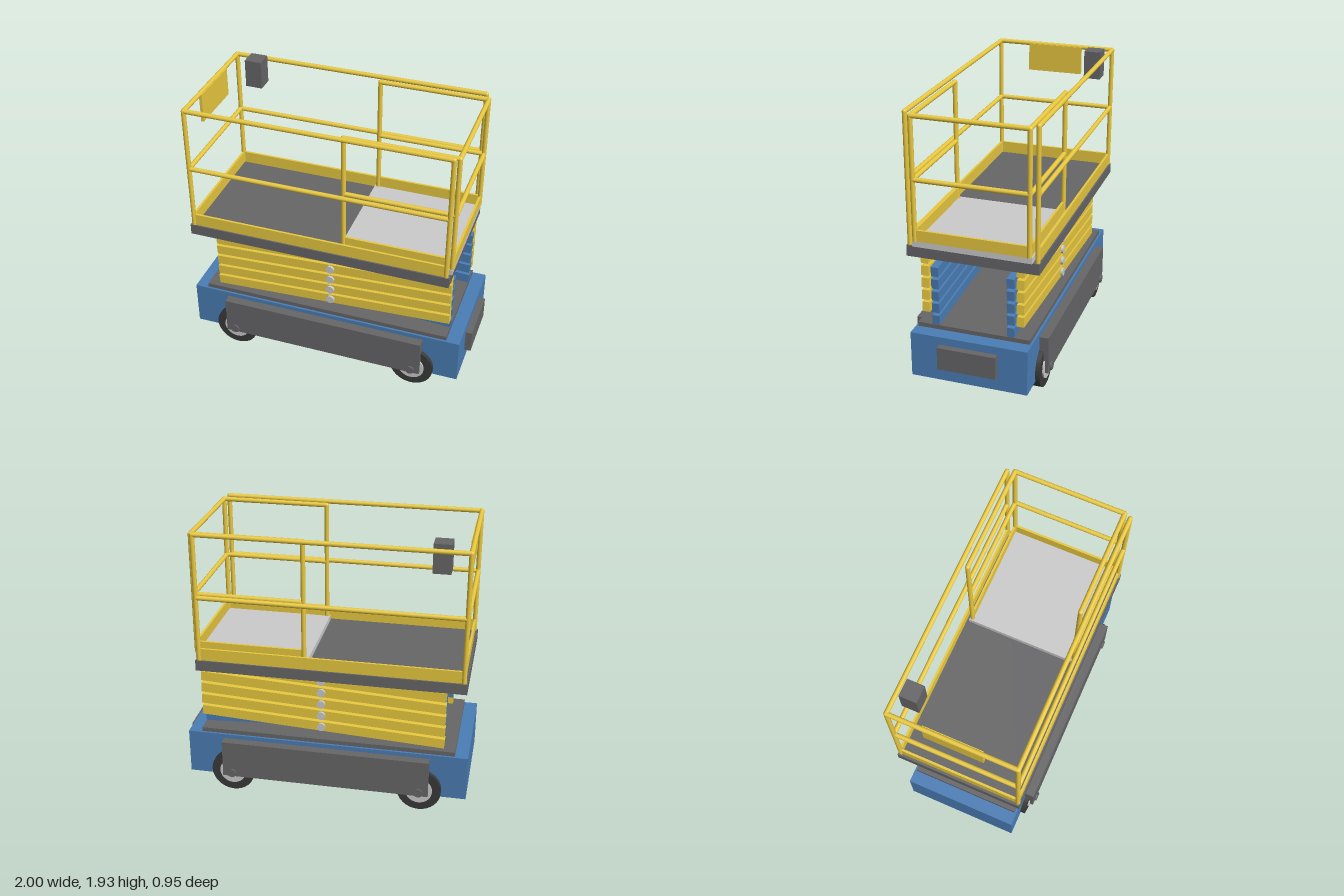
import * as THREE from 'three';

const mat = (color) => new THREE.MeshStandardMaterial({ color });
const YELLOW = mat(0xe8c840), BLUE = mat(0x4a7db5), DARK = mat(0x666668), TYRE = mat(0x3a3a3a), GREY = mat(0xcccccc);

export function createModel() {
  const model = new THREE.Group();
  model.name = 'scissorLift';

  const group = (name) => {
    const g = new THREE.Group();
    g.name = name;
    model.add(g);
    return g;
  };
  const add = (parent, name, geometry, material) => {
    const m = new THREE.Mesh(geometry, material);
    m.name = name;
    parent.add(m);
    return m;
  };
  // Box given by its limits on each axis
  const box = (parent, name, material, [x0, x1], [y0, y1], [z0, z1]) => {
    const m = add(parent, name, new THREE.BoxGeometry(x1 - x0, y1 - y0, z1 - z0), material);
    m.position.set((x0 + x1) / 2, (y0 + y1) / 2, (z0 + z1) / 2);
    return m;
  };
  // Cylinder lying along z
  const disc = (parent, name, material, r, x, y, z0, z1) => {
    const m = add(parent, name, new THREE.CylinderGeometry(r, r, Math.abs(z1 - z0), 32), material);
    m.rotation.x = Math.PI / 2;
    m.position.set(x, y, (z0 + z1) / 2);
    return m;
  };
  // Round tube through a list of corner points, with ball joints
  const R = 0.016;
  const rail = (parent, name, points) => {
    const p = points.map((a) => new THREE.Vector3(...a));
    for (let i = 0; i < p.length - 1; i++) {
      const d = p[i + 1].clone().sub(p[i]);
      const m = add(parent, name, new THREE.CylinderGeometry(R, R, d.length(), 16), YELLOW);
      m.position.copy(p[i]).addScaledVector(d, 0.5);
      m.quaternion.setFromUnitVectors(new THREE.Vector3(0, 1, 0), d.normalize());
      if (i > 0) add(parent, name + 'Joint', new THREE.SphereGeometry(R, 16, 12), YELLOW).position.copy(p[i]);
    }
  };

  // Chassis
  const chassis = group('chassis');
  box(chassis, 'chassisBody', BLUE, [-1, 0.955], [0.1, 0.42], [-0.4, 0.4]);
  box(chassis, 'chassisTopPlate', DARK, [-0.91, 0.86], [0.42, 0.45], [-0.385, 0.385]);
  box(chassis, 'endCover', DARK, [0.955, 1], [0.205, 0.365], [-0.2, 0.2]);
  for (const s of [-1, 1]) {
    box(chassis, 'sidePanel', DARK, [-0.745, 0.7], [0.125, 0.39], s > 0 ? [0.4, 0.463] : [-0.463, -0.4]);
  }

  // Wheels
  const wheels = group('wheels');
  for (const s of [-1, 1]) {
    for (const x of [-0.68, 0.635]) {
      disc(wheels, 'tyre', TYRE, 0.152, x, 0.152, s * 0.325, s * 0.43);
      disc(wheels, 'wheelRim', GREY, 0.092, x, 0.152, s * 0.33, s * 0.44);
      disc(wheels, 'axleCap', DARK, 0.031, x, 0.152, s * 0.42, s * 0.474);
    }
  }

  // Scissor stack: outer arms rise toward +x, inner arms fall
  const scissor = group('scissorStack');
  const LEVELS = 5, STEP = 0.0875, X0 = -0.832, X1 = 0.862;
  const span = X1 - X0, mid = (X0 + X1) / 2, tilt = Math.atan2(STEP, span);
  for (const s of [-1, 1]) {
    for (let i = 0; i < LEVELS; i++) {
      const y = 0.53 + i * STEP;
      for (const [name, material, z, dir] of [['outerArm', YELLOW, 0.323, 1], ['innerArm', BLUE, 0.257, -1]]) {
        const arm = add(scissor, name, new THREE.BoxGeometry(Math.hypot(span, STEP), 0.068, 0.05), material);
        arm.position.set(mid, y, s * z);
        arm.rotation.z = dir * tilt;
      }
      disc(scissor, 'pivotPin', GREY, 0.029, mid, y, s * 0.22, s * 0.364);
    }
  }

  // Main platform with toe boards
  const platform = group('platform');
  box(platform, 'platformDeck', DARK, [-0.97, 0.862], [0.925, 1], [-0.445, 0.445]);
  for (const s of [-1, 1]) {
    box(platform, 'sideToeBoard', YELLOW, [-0.945, 0.84], [1, 1.085], [s * 0.427 - 0.008, s * 0.427 + 0.008]);
  }
  box(platform, 'endToeBoard', YELLOW, [-0.953, -0.937], [1, 1.085], [-0.427, 0.427]);

  // Main guard rails, open at the extension end
  const guard = group('mainGuardRail');
  const L = -0.946, M = 0.838, Z = 0.428;
  rail(guard, 'topRail', [[M, 1, Z], [M, 1.889, Z], [L, 1.889, Z], [L, 1.889, -Z], [M, 1.889, -Z], [M, 1, -Z]]);
  rail(guard, 'midRail', [[M, 1.452, Z], [L, 1.452, Z], [L, 1.452, -Z], [M, 1.452, -Z]]);
  for (const s of [-1, 1]) rail(guard, 'cornerPost', [[L, 1, s * Z], [L, 1.889, s * Z]]);

  // Sliding extension deck with its own toe boards and rails
  const ext = group('extension');
  const A = 0.123, B = 0.864, E = 0.382;
  box(ext, 'extensionDeck', GREY, [0.1, 0.87], [1, 1.04], [-0.4, 0.4]);
  for (const s of [-1, 1]) {
    box(ext, 'extensionSideToeBoard', YELLOW, [A, B], [1.04, 1.118], [s * E - 0.008, s * E + 0.008]);
  }
  box(ext, 'extensionEndToeBoard', YELLOW, [B - 0.008, B + 0.008], [1.04, 1.118], [-E, E]);
  rail(ext, 'extensionTopRail', [[A, 1.04, E], [A, 1.876, E], [B, 1.876, E], [B, 1.876, -E], [A, 1.876, -E], [A, 1.04, -E]]);
  rail(ext, 'extensionMidRail', [[A, 1.459, E], [B, 1.459, E], [B, 1.459, -E], [A, 1.459, -E]]);
  for (const s of [-1, 1]) rail(ext, 'extensionPost', [[B, 1.04, s * E], [B, 1.876, s * E]]);

  // Control box and board on the rails
  box(model, 'controlBox', DARK, [-0.825, -0.707], [1.73, 1.927], [-0.4, -0.282]);
  box(model, 'railBoard', YELLOW, [-0.945, -0.925], [1.69, 1.89], [-0.2, 0.2]);

  return model;
}
